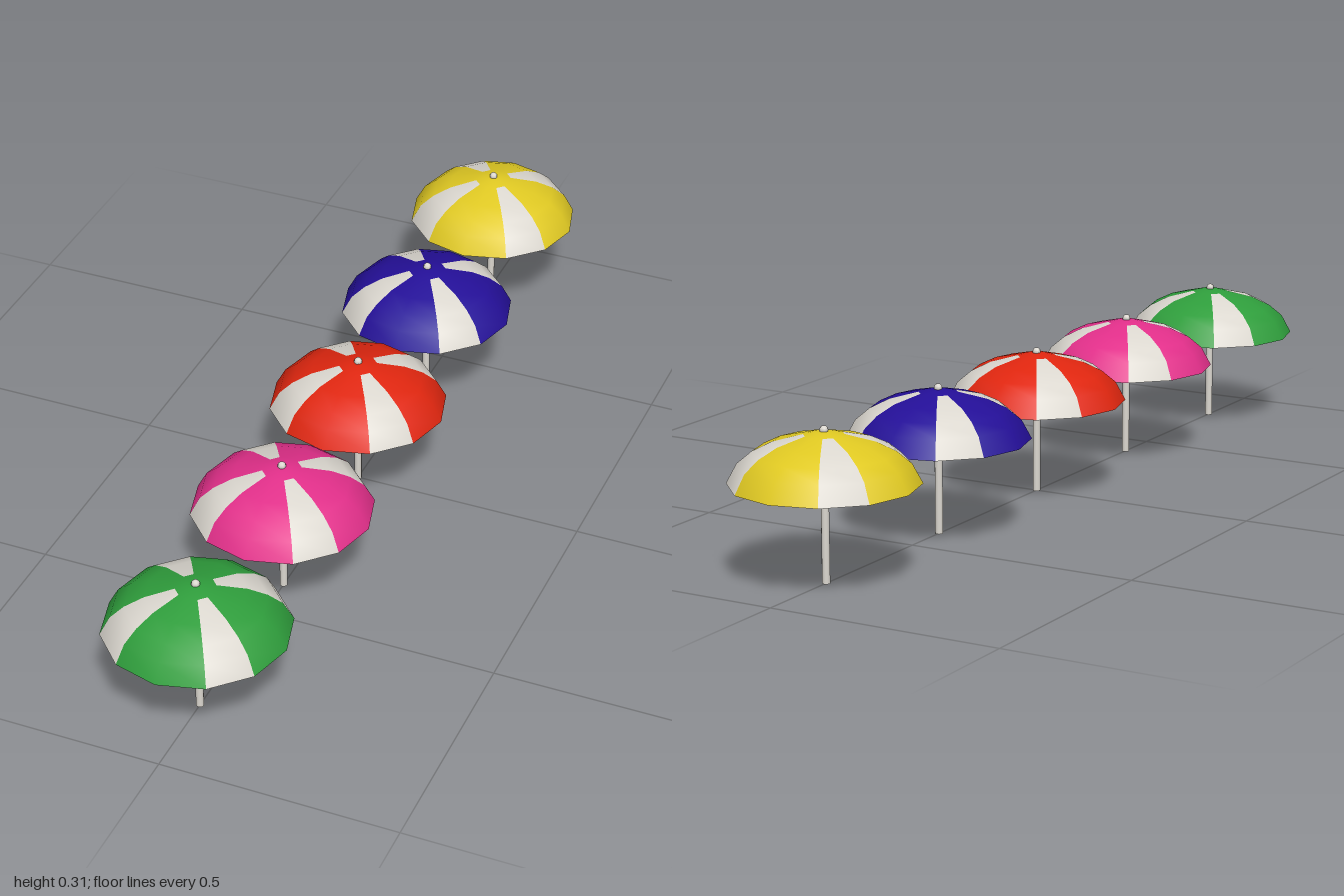
import * as THREE from 'three';

const mat = (name, color) => new THREE.MeshStandardMaterial({ name, color });
const pts = (list) => list.map(([r, y]) => new THREE.Vector2(r, y));

// Canopy sections: outer shell, crown cap, and rim with lining (radius, height)
const OUTER = pts([[0.189, 0.199], [0.168, 0.238], [0.139, 0.262], [0.1, 0.281], [0.04, 0.296]]);
const CROWN = pts([[0.04, 0.296], [0.02, 0.301], [0, 0.302]]);
const RIM = pts([[0.176, 0.199], [0.189, 0.199]]);
const LINING = pts([[0, 0.291], [0.04, 0.286], [0.096, 0.271], [0.132, 0.253], [0.158, 0.232], [0.176, 0.199]]);
const STEP = Math.PI / 6;

export function createModel() {
  const white = mat('offWhite', 0xdcd8d0);
  const umbrellas = [
    ['green', 0x2f9e3c, 0.811],
    ['pink', 0xe22f8a, 0.4],
    ['red', 0xe0260f, 0],
    ['blue', 0x240f98, -0.397],
    ['yellow', 0xe0c922, -0.811],
  ];

  const model = new THREE.Group();
  model.name = 'parasolRow';

  for (const [name, hex, z] of umbrellas) {
    const fabric = mat(name + 'Fabric', hex);
    const parasol = new THREE.Group();
    parasol.name = name + 'Parasol';
    parasol.position.z = z;
    const add = (part, geometry, material, y = 0) => {
      const mesh = new THREE.Mesh(geometry, material);
      mesh.name = part;
      mesh.position.y = y;
      parasol.add(mesh);
    };
    const panel = (part, start, count, material) => {
      const sections = { Outer: OUTER, Rim: RIM, Lining: LINING };
      for (const [side, profile] of Object.entries(sections)) {
        add(part + side, new THREE.LatheGeometry(profile, count, start * STEP, count * STEP), material);
      }
    };

    // Four wide coloured panels alternate with four narrow white ones
    for (let i = 0; i < 4; i++) {
      panel('colouredPanel', i * 3 - 1, 2, fabric);
      panel('whitePanel', i * 3 + 1, 1, white);
    }
    add('crown', new THREE.LatheGeometry(CROWN, 12), fabric);

    // Pole and finial
    add('pole', new THREE.CylinderGeometry(0.008, 0.008, 0.3, 12), white, 0.15);
    add('finial', new THREE.SphereGeometry(0.009, 8, 6), white, 0.304);
    model.add(parasol);
  }
  return model;
}
